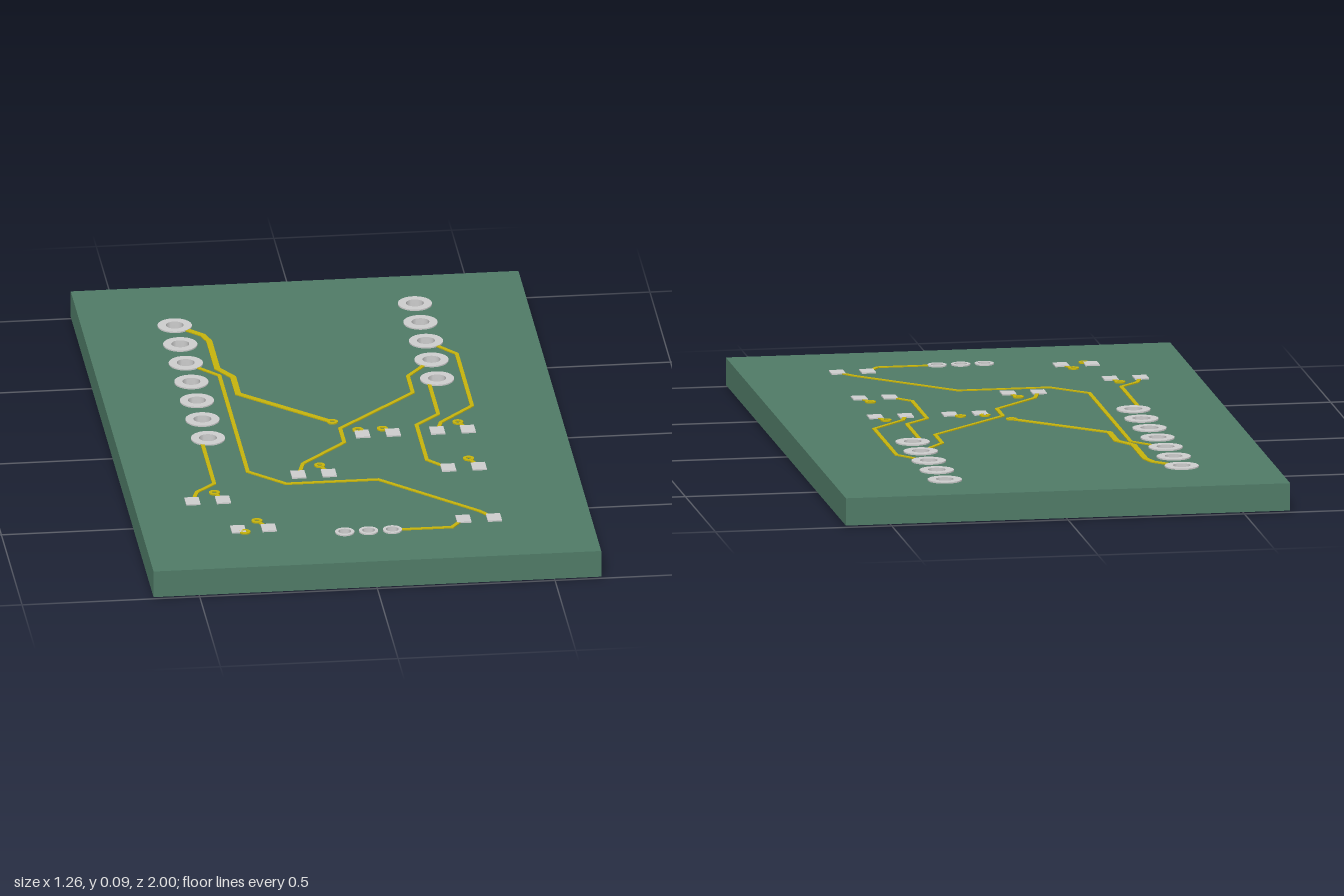
import * as THREE from 'three';
import { toCreasedNormals } from 'three/addons/utils/BufferGeometryUtils.js';

const BOTTOM = 0.005, TOP = 0.083, COPPER = 0.004;
const green = new THREE.MeshStandardMaterial({ color: 0x4f7a66 });
const yellow = new THREE.MeshStandardMaterial({ color: 0xc4b20c });
const grey = new THREE.MeshStandardMaterial({ color: 0xcccccc });

// Extrudes an x/z outline downwards from the given top height
function slab(shape, top, depth) {
  const geo = new THREE.ExtrudeGeometry(shape, { depth, bevelEnabled: false, curveSegments: 16 });
  return geo.rotateX(Math.PI / 2).translate(0, top, 0);
}

// Mitred ribbon along a path of [x, z] points, ends shortened by trimA and trimB
function traceGeometry(path, width, trimA, trimB, top) {
  const p = path.map(([x, z]) => new THREE.Vector2(x, z));
  const n = p.length - 1;
  const dir = (a, b) => b.clone().sub(a).normalize();
  const first = dir(p[0], p[1]), last = dir(p[n], p[n - 1]);
  p[0].addScaledVector(first, trimA);
  p[n].addScaledVector(last, trimB);
  const left = [], right = [];
  p.forEach((q, i) => {
    const d0 = i > 0 ? dir(p[i - 1], q) : dir(q, p[1]);
    const d1 = i < n ? dir(q, p[i + 1]) : d0;
    const m = d0.clone().add(d1).normalize();
    const side = new THREE.Vector2(-m.y, m.x).multiplyScalar(width / 2 / m.dot(d0));
    left.push(q.clone().add(side));
    right.unshift(q.clone().sub(side));
  });
  return slab(new THREE.Shape([...left, ...right]), top, COPPER - 0.001);
}

// Plated barrel with a flange on each face of the board
function platedHole(outer, hole) {
  const barrel = hole + 0.004, top = TOP + COPPER;
  const profile = [[hole, 0], [outer, 0], [outer, BOTTOM], [barrel, BOTTOM], [barrel, TOP],
    [outer, TOP], [outer, top], [hole, top], [hole, 0]].map(([x, y]) => new THREE.Vector2(x, y));
  return toCreasedNormals(new THREE.LatheGeometry(profile, 32), 0.6);
}

export function createModel() {
  const group = new THREE.Group();
  const add = (name, geo, mat, x = 0, y = 0, z = 0) => {
    const mesh = new THREE.Mesh(geo, mat);
    mesh.name = name;
    mesh.position.set(x, y, z);
    group.add(mesh);
  };

  // Through holes: two header rows and a small three-pin row
  const holes = [];
  for (let i = 0; i < 7; i++) holes.push([-0.37, -0.72 + i * 0.134, 0.048, 0.025]);
  for (let i = 0; i < 5; i++) holes.push([0.315, -0.798 + i * 0.134, 0.048, 0.025]);
  for (let i = -1; i <= 1; i++) holes.push([i * 0.067, 0.787, 0.027, 0.0175]);

  // Drilled board
  const outline = new THREE.Shape([[-0.63, -1], [0.63, -1], [0.63, 1], [-0.63, 1]]
    .map(([x, z]) => new THREE.Vector2(x, z)));
  for (const [x, z, , r] of holes) {
    outline.holes.push(new THREE.Path().absarc(x, z, r + 0.004, 0, Math.PI * 2, true));
  }
  add('board', slab(outline, TOP, TOP - BOTTOM), green);
  for (const [x, z, outer, r] of holes) add('holePad', platedHole(outer, r), grey, x, 0, z);

  // Surface pads, in pairs given by their centre
  const padGeo = new THREE.BoxGeometry(0.04, COPPER, 0.05);
  const pairs = [[0.105, 0.103], [0.316, 0.103], [-0.106, 0.368], [0.316, 0.368],
    [-0.422, 0.522], [-0.318, 0.734], [0.316, 0.734]];
  for (const [x, z] of pairs) {
    for (const s of [-1, 1]) add('surfacePad', padGeo, grey, x + s * 0.043, TOP + COPPER / 2, z);
  }

  // Vias, ringed on both faces
  const ring = new THREE.Shape().absarc(0, 0, 0.0155, 0, Math.PI * 2, false);
  ring.holes.push(new THREE.Path().absarc(0, 0, 0.007, 0, Math.PI * 2, true));
  const ringGeo = slab(ring, COPPER, COPPER);
  const vias = [[-0.011, 0.008], [0.053, 0.072], [0.122, 0.072], [0.337, 0.05], [-0.082, 0.31],
    [0.337, 0.31], [-0.397, 0.469], [-0.302, 0.681], [-0.344, 0.755]];
  for (const [x, z] of vias) {
    add('viaTop', ringGeo, yellow, x, TOP, z);
    add('viaBottom', ringGeo, yellow, x, BOTTOM - COPPER, z);
  }

  // Traces: path, end trims, width
  const H = 0.034, P = 0.022, V = 0.01, W = 0.011;
  const topTraces = [
    [[[-0.37, -0.72], [-0.30, -0.645], [-0.287, -0.6], [-0.287, -0.405], [-0.25, -0.34],
      [-0.25, -0.22], [-0.011, 0.008]], H, V, 0.017],
    [[[-0.37, -0.453], [-0.287, -0.355], [-0.287, 0.331], [-0.19, 0.428], [0.069, 0.428],
      [0.323, 0.681], [0.36, 0.734]], H, 0, W],
    [[[-0.39, 0.11], [-0.39, 0.405], [-0.445, 0.458], [-0.464, 0.522]], 0, 0, W],
    [[[0.315, -0.396], [0.236, -0.29], [0.236, -0.172], [0.005, 0.056], [0.005, 0.156],
      [-0.127, 0.292], [-0.148, 0.368]], H, 0, W],
    [[[0.315, -0.53], [0.39, -0.432], [0.39, -0.061], [0.29, 0.045], [0.273, 0.103]], H, 0, W],
    [[[0.289, -0.232], [0.289, -0.013], [0.22, 0.056], [0.22, 0.305], [0.273, 0.368]], 0, 0, W],
    [[[0.067, 0.787], [0.235, 0.787], [0.273, 0.734]], P, 0, W],
    // Stubs joining vias to surface pads
    [[[0.053, 0.072], [0.062, 0.103]], V, 0, W],
    [[[0.122, 0.072], [0.148, 0.103]], V, 0, W],
    [[[0.337, 0.05], [0.36, 0.103]], V, 0, W],
    [[[-0.082, 0.31], [-0.063, 0.368]], V, 0, W],
    [[[0.337, 0.31], [0.36, 0.368]], V, 0, W],
    [[[-0.397, 0.469], [-0.379, 0.522]], V, 0, W],
    [[[-0.302, 0.681], [-0.275, 0.734]], V, 0, W],
    [[[-0.344, 0.755], [-0.36, 0.734]], V, 0, W],
  ];
  const bottomTraces = [
    [[[0.122, 0.072], [-0.236, -0.286], [-0.32, -0.286], [-0.37, -0.318]], V, H, W],
    [[[0.315, -0.798], [-0.21, -0.275]], H, 0, W],
    [[[-0.011, 0.008], [0.053, 0.072]], V, V, 0.015],
    [[[0.053, 0.072], [0.05, 0.65], [-0.067, 0.787]], V, P, 0.015],
    [[[-0.067, 0.787], [-0.12, 0.762], [-0.344, 0.755]], P, V, 0.015],
  ];
  for (const [path, a, b, w] of topTraces) {
    add('traceTop', traceGeometry(path, w, a, b, TOP + COPPER - 0.001), yellow);
  }
  for (const [path, a, b, w] of bottomTraces) {
    add('traceBottom', traceGeometry(path, w, a, b, BOTTOM), yellow);
  }
  return group;
}
